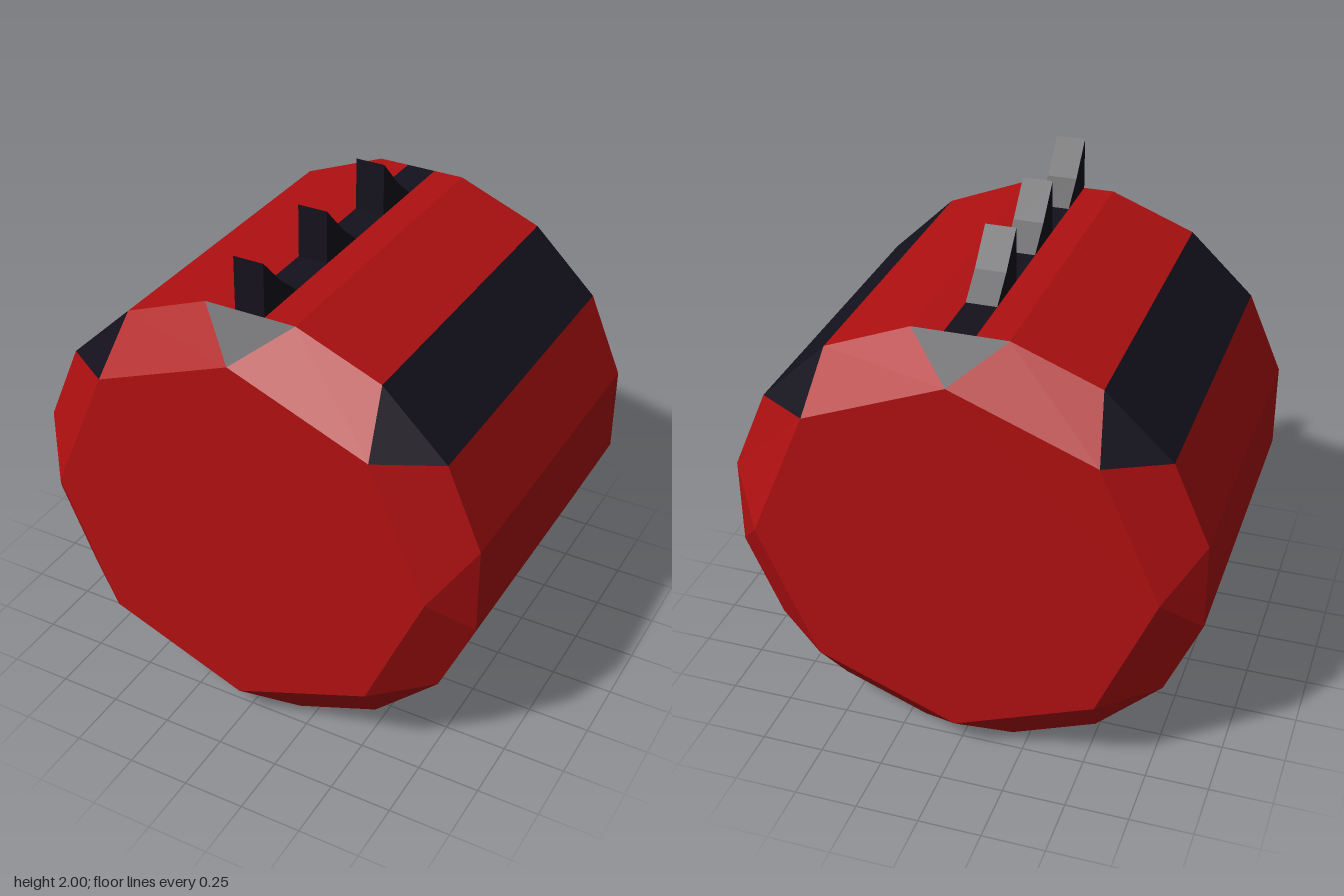
import * as THREE from 'three';

const RIM = { rx: 0.943, ry: 0.905, z: 0.677 };
const CAP = { rx: 0.79, ry: 0.755, z: 0.84 };
const STRIPE = 0.06; // half width of the crest

// Point on an elliptical ring; the angle is in degrees clockwise from the top
function ringPoint(ring, degrees, side) {
  const a = THREE.MathUtils.degToRad(degrees);
  return new THREE.Vector3(ring.rx * Math.sin(a), ring.ry * Math.cos(a), ring.z * side);
}

// Mesh from convex polygons, each wound to face away from the centre
function facetMesh(name, polygons, material) {
  const points = [];
  for (const p of polygons) {
    const normal = p[1].clone().sub(p[0]).cross(p[2].clone().sub(p[0]));
    const q = normal.dot(p[0]) < 0 ? [...p].reverse() : p;
    for (let i = 1; i < q.length - 1; i++) points.push(q[0], q[i], q[i + 1]);
  }
  const geometry = new THREE.BufferGeometry().setFromPoints(points);
  geometry.computeVertexNormals();
  const mesh = new THREE.Mesh(geometry, material);
  mesh.name = name;
  return mesh;
}

export function createModel() {
  const red = new THREE.MeshStandardMaterial({ color: 0xb01011, flatShading: true });
  const dark = new THREE.MeshStandardMaterial({ color: 0x14111c, flatShading: true });
  const shell = [], stripes = [], ends = [], bevels = [], bevelMarks = [];

  // Sixteen long side panels, with dark ones at the upper diagonals
  for (let k = 0; k < 16; k++) {
    const angle = k * 22.5;
    const [a, b] = [angle - 11.25, angle + 11.25];
    const p = [ringPoint(RIM, a, 1), ringPoint(RIM, b, 1), ringPoint(RIM, b, -1), ringPoint(RIM, a, -1)];
    if (k === 0) {
      // The top panel is split around a narrow crest stripe
      const xs = [p[0].x, -STRIPE, STRIPE, p[1].x];
      for (let i = 0; i < 3; i++) {
        const at = (x, z) => new THREE.Vector3(x, p[0].y, z);
        (i === 1 ? stripes : shell).push([
          at(xs[i], RIM.z), at(xs[i + 1], RIM.z), at(xs[i + 1], -RIM.z), at(xs[i], -RIM.z),
        ]);
      }
    } else {
      (angle === 45 || angle === 315 ? stripes : shell).push(p);
    }
  }

  // Octagonal ends joined to the rim by alternating triangles and quads
  for (const side of [1, -1]) {
    const octagon = [];
    for (let k = 0; k < 8; k++) {
      const angle = k * 45;
      const corner = ringPoint(CAP, angle, side);
      const next = ringPoint(CAP, angle + 45, side);
      octagon.push(corner);
      const marked = k === 0 || k === 1 || k === 7;
      (marked ? bevelMarks : bevels).push([
        corner, ringPoint(RIM, angle - 11.25, side), ringPoint(RIM, angle + 11.25, side),
      ]);
      bevels.push([
        corner, ringPoint(RIM, angle + 11.25, side), ringPoint(RIM, angle + 33.75, side), next,
      ]);
    }
    ends.push(octagon);
  }

  const body = new THREE.Group();
  body.name = 'body';
  body.add(
    facetMesh('sidePanels', shell, red),
    facetMesh('darkStripes', stripes, dark),
    facetMesh('endFaces', ends, red),
    facetMesh('endBevels', bevels, red),
    facetMesh('darkBevelMarks', bevelMarks, dark),
  );

  // Three backswept spikes along the crest
  const profile = new THREE.Shape([
    new THREE.Vector2(0, 0.87),
    new THREE.Vector2(0, 1.1),
    new THREE.Vector2(-0.12, 0.975),
    new THREE.Vector2(-0.225, 0.888),
    new THREE.Vector2(-0.225, 0.87),
  ]);
  const spikeGeometry = new THREE.ExtrudeGeometry(profile, { depth: STRIPE * 2, bevelEnabled: false });
  spikeGeometry.rotateY(-Math.PI / 2).translate(STRIPE, 0, 0);
  const spikes = new THREE.Group();
  spikes.name = 'crestSpikes';
  for (let i = 0; i < 3; i++) {
    const spike = new THREE.Mesh(spikeGeometry, dark);
    spike.name = 'spike';
    spike.position.z = RIM.z - i * 0.45;
    spikes.add(spike);
  }

  // The whole barrel leans back very slightly
  const barrel = new THREE.Group();
  barrel.name = 'barrel';
  barrel.add(body, spikes);
  barrel.rotation.x = -0.0085;
  barrel.position.y = 0.895;

  const model = new THREE.Group();
  model.name = 'spikedBarrel';
  model.add(barrel);
  return model;
}
